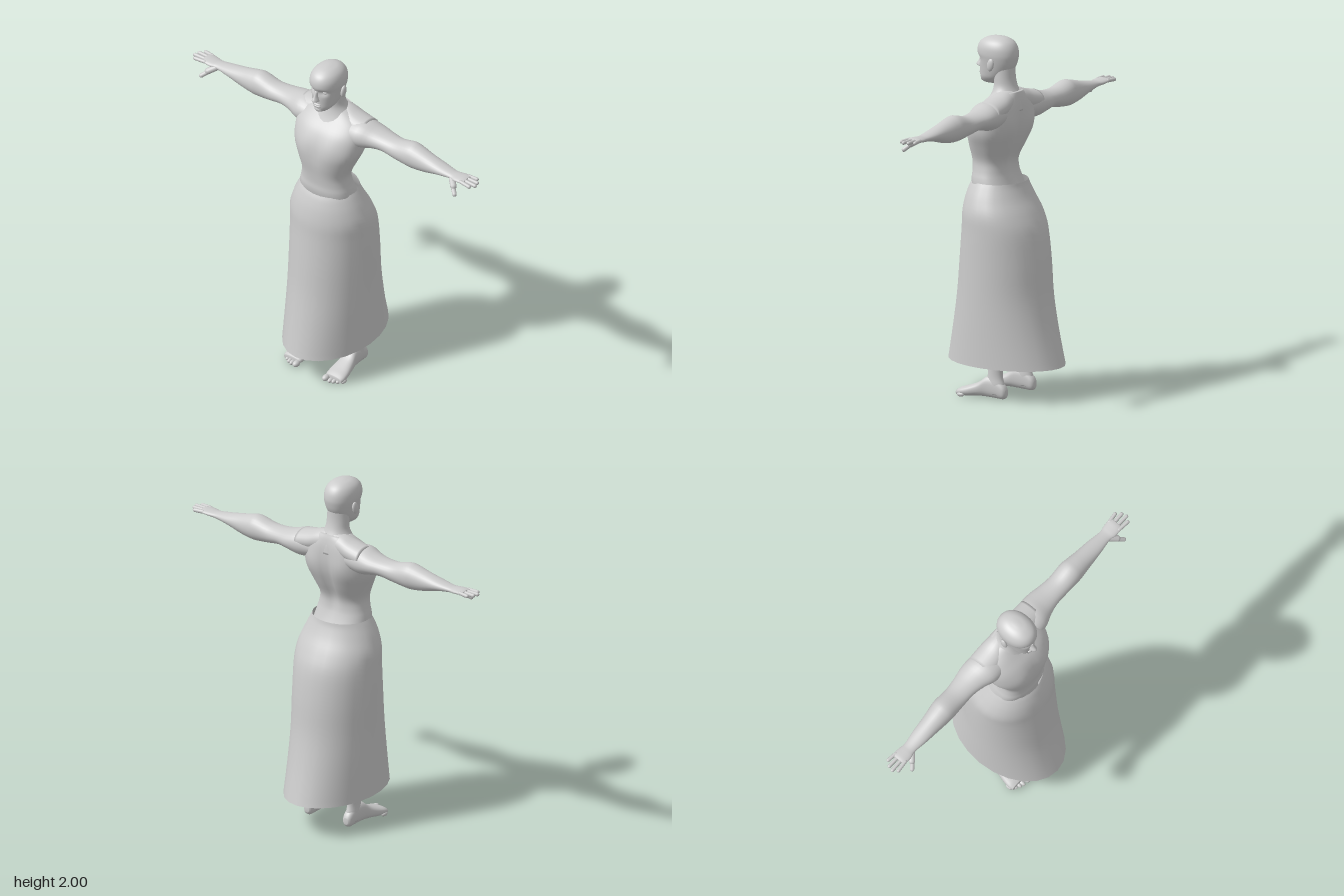
import * as THREE from 'three';

const skin = new THREE.MeshStandardMaterial({ color: 0xcccccc, side: THREE.DoubleSide });
skin.name = 'plain grey';

// Smooth value between rows of numbers (Catmull-Rom)
function sample(rows, t) {
  const i = Math.min(Math.floor(t), rows.length - 2), f = t - i;
  const at = k => rows[Math.max(0, Math.min(rows.length - 1, k))];
  return rows[i].map((_, c) => {
    const [p, a, b, n] = [at(i - 1)[c], at(i)[c], at(i + 1)[c], at(i + 2)[c]];
    return a + 0.5 * f * (b - p + f * (2 * p - 5 * a + 4 * b - n + f * (3 * (a - b) + n - p)));
  });
}

// Skin over oval sections [s, a0, a1, b0, b1]; axis x rings lie in y,z; axis y in z,x; axis z in x,y
function loft(axis, rows, { segs = 28, steps = 4, power = 2, capped = true, tweak } = {}) {
  const pos = [], idx = [], n = (rows.length - 1) * steps;
  const k = 'xyz'.indexOf(axis);
  const put = (s, a, b) => {
    const v = new THREE.Vector3().setComponent(k, s).setComponent((k + 1) % 3, a).setComponent((k + 2) % 3, b);
    if (tweak) tweak(v);
    pos.push(v.x, v.y, v.z);
  };
  const round = v => Math.sign(v) * Math.abs(v) ** (2 / power);
  for (let j = 0; j <= n; j++) {
    const [s, a0, a1, b0, b1] = sample(rows, j / steps);
    for (let i = 0; i < segs; i++) {
      const t = (i / segs) * Math.PI * 2;
      put(s, (a0 + a1) / 2 + (a1 - a0) / 2 * round(Math.cos(t)), (b0 + b1) / 2 + (b1 - b0) / 2 * round(Math.sin(t)));
    }
  }
  for (let j = 0; j < n; j++) for (let i = 0; i < segs; i++) {
    const p = j * segs + i, q = j * segs + (i + 1) % segs;
    idx.push(p, q, p + segs, q, q + segs, p + segs);
  }
  if (capped) {
    const base = (n + 1) * segs;
    for (const r of [rows[0], rows[rows.length - 1]]) put(r[0], (r[1] + r[2]) / 2, (r[3] + r[4]) / 2);
    for (let i = 0; i < segs; i++) {
      const q = (i + 1) % segs;
      idx.push(base, q, i, base + 1, n * segs + i, n * segs + q);
    }
  }
  const g = new THREE.BufferGeometry();
  g.setAttribute('position', new THREE.Float32BufferAttribute(pos, 3));
  g.setIndex(idx);
  g.computeVertexNormals();
  return g;
}

function ball(x, y, z, rx, ry, rz, tilt = 0) {
  return new THREE.SphereGeometry(1, 16, 12).scale(rx, ry, rz).rotateX(tilt).translate(x, y, z);
}

// Rounded finger between two points
function digit(from, to, r) {
  const a = new THREE.Vector3(...from), d = new THREE.Vector3(...to).sub(a);
  const len = d.length();
  const q = new THREE.Quaternion().setFromUnitVectors(new THREE.Vector3(0, 1, 0), d.clone().normalize());
  return new THREE.CapsuleGeometry(r, len - 2 * r, 4, 10).applyQuaternion(q)
    .translate(...a.addScaledVector(d, 0.5).toArray());
}

function mirrored(geo) {
  const g = geo.clone(), ix = g.index.array;
  for (let i = 0; i < ix.length; i += 3) [ix[i + 1], ix[i + 2]] = [ix[i + 2], ix[i + 1]];
  const p = g.attributes.position, m = g.attributes.normal;
  for (let i = 0; i < p.count; i++) { p.setX(i, -p.getX(i)); m.setX(i, -m.getX(i)); }
  return g;
}

export function createModel() {
  const model = new THREE.Group();
  model.name = 'figure in long skirt';
  const add = (name, geo) => {
    const m = new THREE.Mesh(geo, skin);
    m.name = name;
    model.add(m);
  };
  const pair = (name, geo) => { add(name + 'Left', geo); add(name + 'Right', mirrored(geo)); };
  // Upright section: height, back z, front z, half width
  const up = rows => rows.map(([y, zb, zf, w]) => [y, zb, zf, -w, w]);
  const bump = (d, w) => Math.exp(-((d / w) ** 2));

  // Torso with spine groove, shoulder blades and chest
  add('torso', loft('y', up([
    [0.92, -0.1, 0.11, 0.15], [1.08, -0.09, 0.15, 0.175], [1.2, -0.045, 0.18, 0.163], [1.26, -0.028, 0.18, 0.148],
    [1.32, -0.03, 0.185, 0.143], [1.4, -0.065, 0.195, 0.173], [1.47, -0.09, 0.195, 0.203], [1.53, -0.1, 0.182, 0.212],
    [1.59, -0.1, 0.15, 0.212], [1.64, -0.095, 0.105, 0.19], [1.68, -0.085, 0.07, 0.13], [1.705, -0.075, 0.055, 0.08],
  ]), {
    segs: 48, power: 2.4, tweak: v => {
      const chest = bump(v.y - 1.48, 0.09);
      if (v.z < 0) v.z += 0.022 * bump(v.x, 0.03) * bump(v.y - 1.42, 0.2) - 0.01 * bump(Math.abs(v.x) - 0.11, 0.05) * bump(v.y - 1.53, 0.08);
      else if (v.z > 0.1) v.z += chest * (0.006 * bump(Math.abs(v.x) - 0.09, 0.05) - 0.006 * bump(v.x, 0.025));
    },
  }));

  // Neck and sloping shoulder muscles
  add('neck', loft('y', up([
    [1.6, -0.095, 0.13, 0.15], [1.65, -0.088, 0.1, 0.125], [1.69, -0.072, 0.083, 0.09],
    [1.73, -0.053, 0.074, 0.068], [1.78, -0.042, 0.078, 0.064], [1.85, -0.04, 0.09, 0.062],
  ])));
  pair('shoulderSlope', loft('x', [
    [0.02, 1.58, 1.72, -0.085, 0.03], [0.08, 1.58, 1.71, -0.09, 0.045],
    [0.14, 1.57, 1.69, -0.095, 0.06], [0.22, 1.56, 1.672, -0.095, 0.06],
  ]));

  // Head
  add('head', loft('y', up([
    [1.735, 0.07, 0.145, 0.022], [1.745, 0.045, 0.16, 0.04], [1.77, 0.01, 0.167, 0.06], [1.8, -0.02, 0.168, 0.07],
    [1.84, -0.045, 0.169, 0.079], [1.875, -0.056, 0.17, 0.086], [1.905, -0.06, 0.18, 0.09], [1.94, -0.054, 0.178, 0.087],
    [1.97, -0.036, 0.16, 0.073], [1.99, -0.005, 0.125, 0.048], [1.998, 0.03, 0.09, 0.02], [2.0, 0.055, 0.065, 0.004],
  ]), {
    segs: 48, power: 2.15, tweak: v => {
      if (v.z > 0.09) v.z -= 0.016 * bump(Math.abs(v.x) - 0.037, 0.02) * bump(v.y - 1.873, 0.016);
    },
  }));
  add('nose', loft('y', up([
    [1.815, 0.14, 0.176, 0.012], [1.82, 0.14, 0.192, 0.019], [1.828, 0.14, 0.203, 0.018],
    [1.85, 0.14, 0.189, 0.011], [1.88, 0.14, 0.176, 0.01],
  ])));
  add('upperLip', ball(0, 1.793, 0.164, 0.028, 0.007, 0.013));
  add('lowerLip', ball(0, 1.781, 0.163, 0.024, 0.007, 0.013));
  add('chin', ball(0, 1.755, 0.15, 0.028, 0.018, 0.018));
  pair('eye', ball(0.036, 1.872, 0.139, 0.017, 0.009, 0.013));
  pair('ear', ball(0.093, 1.853, 0.048, 0.012, 0.036, 0.021, -0.2));

  // Arms: x, bottom, top, back, front
  pair('arm', loft('x', [
    [0.1, 1.53, 1.655, -0.085, 0.09], [0.2, 1.515, 1.672, -0.1, 0.095], [0.28, 1.533, 1.652, -0.1, 0.068],
    [0.35, 1.542, 1.64, -0.088, 0.054], [0.43, 1.528, 1.64, -0.08, 0.052], [0.52, 1.517, 1.662, -0.083, 0.055],
    [0.57, 1.518, 1.656, -0.078, 0.052], [0.64, 1.53, 1.638, -0.068, 0.045], [0.73, 1.555, 1.618, -0.058, 0.038],
    [0.81, 1.568, 1.604, -0.045, 0.028], [0.85, 1.571, 1.604, -0.05, 0.036],
    [0.89, 1.578, 1.605, -0.053, 0.036], [0.91, 1.584, 1.602, -0.047, 0.028],
  ]));
  [[0.026, 0.034, 0.965], [0.004, 0.007, 0.985], [-0.019, -0.022, 0.978], [-0.041, -0.05, 0.955]].forEach(([z0, z1, x], i) =>
    pair('finger' + (i + 1), digit([0.88, 1.592, z0], [x, 1.59, z1], 0.0105)));
  pair('thumb', digit([0.82, 1.58, 0.02], [0.89, 1.52, 0.075], 0.0125));
  pair('thumbBase', digit([0.81, 1.585, 0.005], [0.867, 1.548, 0.055], 0.018));

  // Legs: y, back, front, inner, outer
  pair('leg', loft('y', [
    [0.03, -0.08, 0.03, 0.105, 0.165], [0.08, -0.075, 0.04, 0.102, 0.168], [0.13, -0.062, 0.032, 0.106, 0.164],
    [0.2, -0.07, 0.026, 0.103, 0.167], [0.36, -0.105, 0.03, 0.085, 0.182], [0.52, -0.07, 0.05, 0.08, 0.175],
    [0.72, -0.08, 0.09, 0.035, 0.19], [0.95, -0.11, 0.11, 0.005, 0.19], [1.03, -0.1, 0.12, 0.02, 0.18],
  ]));
  // Feet: z, inner, outer, sole, instep
  pair('foot', loft('z', [
    [-0.09, 0.12, 0.15, 0.025, 0.06], [-0.075, 0.108, 0.163, 0.008, 0.085], [-0.03, 0.102, 0.168, 0.008, 0.12],
    [0.03, 0.098, 0.174, 0.01, 0.125], [0.08, 0.092, 0.186, 0.01, 0.09], [0.14, 0.085, 0.2, 0.004, 0.065],
    [0.18, 0.086, 0.204, 0.003, 0.052], [0.205, 0.092, 0.198, 0.006, 0.04],
  ], { power: 2.4 }));
  for (let i = 0; i < 5; i++) {
    const r = i ? 0.0125 : 0.018, x = i ? 0.112 + i * 0.021 : 0.103;
    pair('toe' + (i + 1), ball(x, r + 0.001, 0.215 - i * i * 0.0025, r, r, i ? 0.023 : 0.026));
  }

  // Long open skirt, flaring to front and back
  add('skirt', loft('y', up([
    [0.19, -0.35, 0.355, 0.245], [0.38, -0.3, 0.317, 0.245], [0.57, -0.262, 0.285, 0.245], [0.76, -0.245, 0.266, 0.246],
    [0.93, -0.22, 0.25, 0.246], [1.03, -0.18, 0.243, 0.241], [1.11, -0.135, 0.228, 0.214], [1.17, -0.108, 0.208, 0.185],
    [1.2, -0.1, 0.193, 0.168],
  ]), { segs: 24, capped: false }));

  return model;
}
